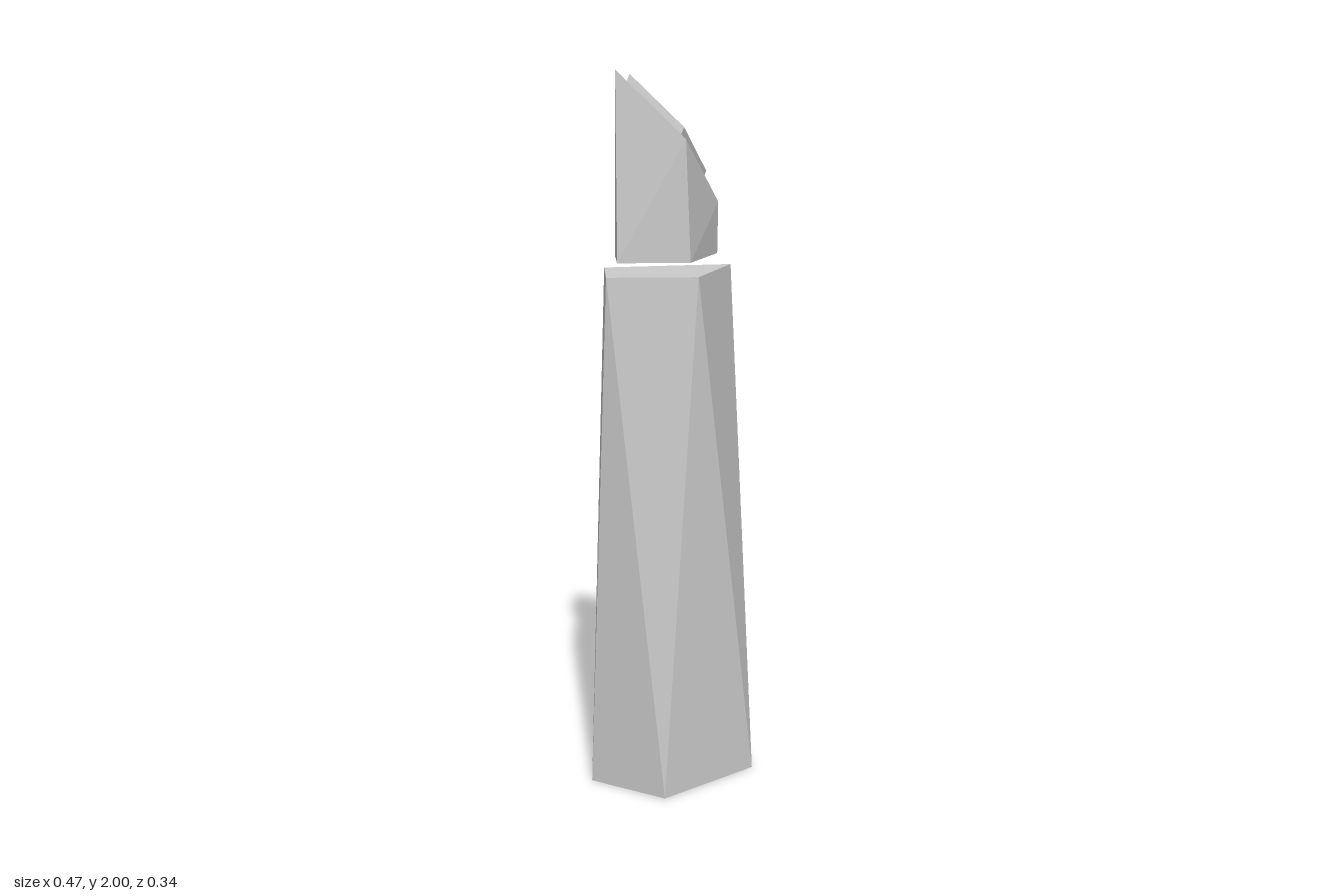
import * as THREE from 'three';

const material = new THREE.MeshStandardMaterial({ color: 0xcccccc, flatShading: true });

// Closed faceted solid between two four-cornered rings of [x, y, z],
// both counter-clockwise from above; each side splits along lower[i] - upper[i + 1].
function facetedBlock(name, lower, upper) {
  const n = lower.length;
  const tris = [];
  for (let i = 0; i < n; i++) {
    const j = (i + 1) % n;
    tris.push(lower[i], lower[j], upper[j], lower[i], upper[j], upper[i]);
  }
  for (let i = 1; i < n - 1; i++) {
    tris.push(upper[0], upper[i], upper[i + 1], lower[0], lower[i + 1], lower[i]);
  }
  const geometry = new THREE.BufferGeometry();
  geometry.setAttribute('position', new THREE.Float32BufferAttribute(tris.flat(), 3));
  geometry.computeVertexNormals();
  const mesh = new THREE.Mesh(geometry, material);
  mesh.name = name;
  return mesh;
}

const atHeight = (ring, y) => ring.map(([x, z]) => [x, y, z]);

// Sloping roof plane of the crown
const roofY = (x, z) => 2 - 1.03 * (x + 0.165) + 0.2 * (z - 0.088);
const onRoof = (ring) => ring.map(([x, z]) => [x, roofY(x, z), z]);

export function createModel() {
  const model = new THREE.Group();
  model.name = 'tower';

  // Twisted main shaft
  const shaftFoot = atHeight([[-0.05, 0.172], [0.237, 0.002], [-0.085, -0.172], [-0.237, 0.016]], 0);
  const shaftTop = atHeight([[-0.198, 0.125], [0.045, 0.152], [0.192, -0.145], [-0.172, -0.117]], 1.465);
  model.add(facetedBlock('shaft', shaftFoot, shaftTop));

  // Crown hovering just above the shaft, cut off at a slant
  const crownFoot = atHeight([[-0.165, 0.103], [0.029, 0.122], [0.147, -0.113], [-0.145, -0.093]], 1.5);
  const crownTop = onRoof([[-0.165, 0.088], [0.015, 0.128], [0.145, -0.093], [-0.13, -0.104]]);
  model.add(facetedBlock('crown', crownFoot, crownTop));

  // Raised panel on the slanted roof
  const panelBase = onRoof([[-0.134, 0.061], [0.005, 0.095], [0.094, -0.058], [-0.111, -0.068]]);
  const panelTop = panelBase.map(([x, y, z]) => [x + 0.011, y + 0.027, z - 0.004]);
  model.add(facetedBlock('roofPanel', panelBase, panelTop));

  // Windows lying on the upper back facet of the shaft
  const right = new THREE.Vector3(...shaftTop[2]);
  const left = new THREE.Vector3(...shaftTop[3]);
  const foot = new THREE.Vector3(...shaftFoot[2]);
  const plane = new THREE.Plane().setFromCoplanarPoints(foot, left, right);
  if (plane.normal.z > 0) plane.negate();
  const across = left.clone().sub(right).normalize();
  const up = plane.normal.clone().cross(across);
  const facing = new THREE.Matrix4().makeBasis(across, up, plane.normal);

  const windows = new THREE.Group();
  windows.name = 'windows';
  const pane = new THREE.BoxGeometry(0.042, 0.056, 0.014);
  const rows = [
    [1.3, [0.1, 0.004, -0.092]],
    [1.175, [0.07, -0.026]],
    [1.05, [0.01, -0.08]],
  ];
  for (const [y, xs] of rows) {
    for (const x of xs) {
      const mesh = new THREE.Mesh(pane, material);
      mesh.name = 'window';
      const { normal, constant } = plane;
      mesh.position.set(x, y, -(constant + normal.x * x + normal.y * y) / normal.z);
      mesh.quaternion.setFromRotationMatrix(facing);
      windows.add(mesh);
    }
  }
  model.add(windows);

  return model;
}
